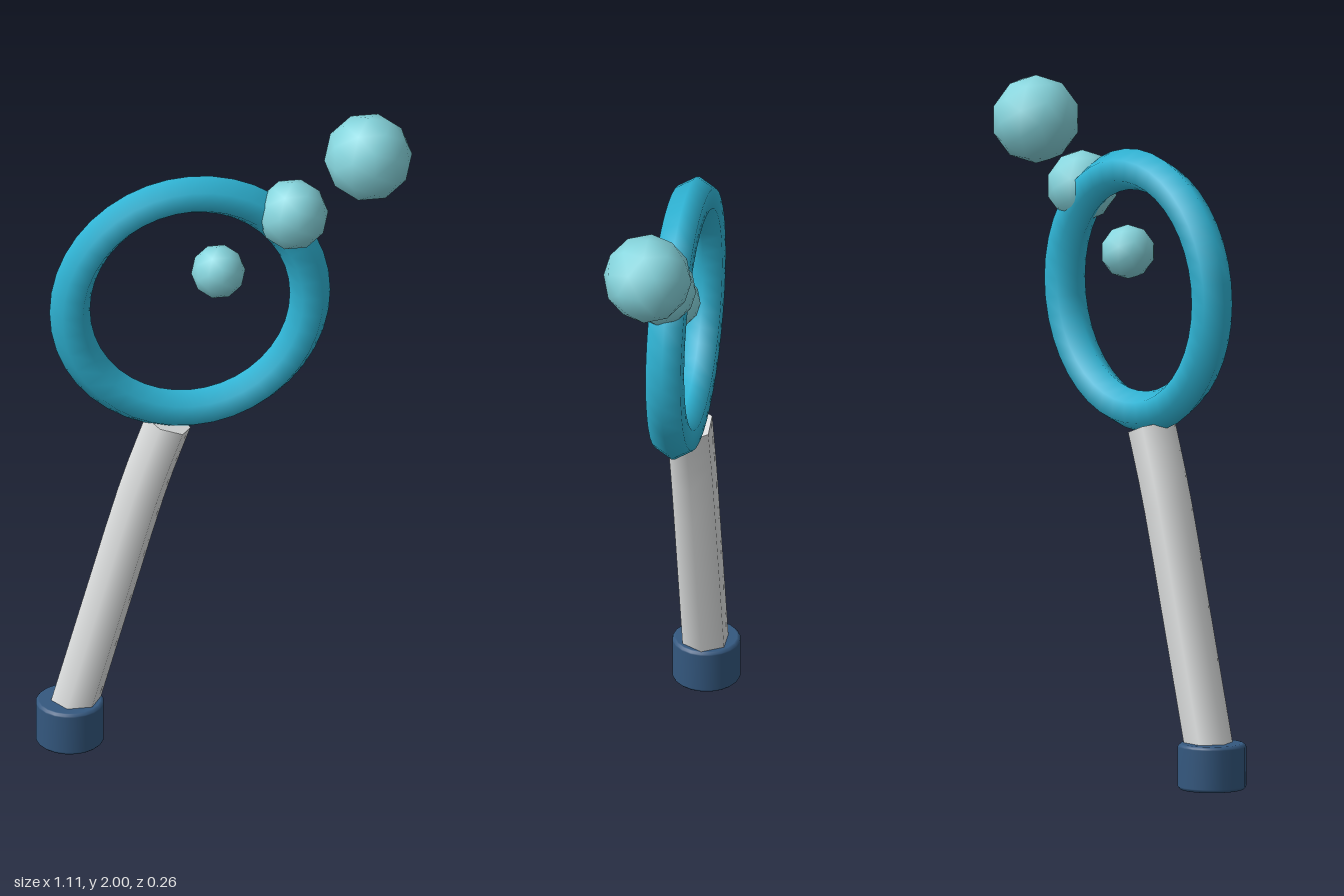
import * as THREE from 'three';

const mat = (name, color) => {
  const m = new THREE.MeshStandardMaterial({ color });
  m.name = name;
  return m;
};

export function createModel() {
  const group = new THREE.Group();
  const white = mat('pale grey', 0xdfe1e1);
  const blue = mat('bright blue', 0x2fb5d6);
  const aqua = mat('light aqua', 0x86d5dd);
  const navy = mat('navy', 0x34587f);
  const depth = -0.022; // the wand sits slightly behind the bubbles

  const add = (name, geometry, material, x, y, z) => {
    const mesh = new THREE.Mesh(geometry, material);
    mesh.name = name;
    mesh.position.set(x, y, z);
    group.add(mesh);
  };

  // End cap: short cylinder with a small bevel
  const capProfile = [[0, 0], [0.09, 0], [0.094, 0.001], [0.099, 0.006], [0.1, 0.01],
    [0.1, 0.125], [0.099, 0.129], [0.094, 0.134], [0.09, 0.135], [0, 0.135]];
  add('endCap', new THREE.LatheGeometry(capProfile.map(([x, y]) => new THREE.Vector2(x, y)), 20),
    navy, -0.455, 0, depth);

  // Handle: six-sided rod swept along a slightly bent centre line
  const path = new THREE.CatmullRomCurve3([
    new THREE.Vector3(-0.452, 0.08, 0), new THREE.Vector3(-0.338, 0.48, 0),
    new THREE.Vector3(-0.233, 0.84, 0), new THREE.Vector3(-0.165, 1.03, 0)]);
  const handle = new THREE.CylinderGeometry(0.071, 0.071, 1, 6, 8).rotateY(Math.PI / 6);
  const { position, normal } = handle.attributes;
  const v = new THREE.Vector3();
  const zAxis = new THREE.Vector3(0, 0, 1);
  for (let i = 0; i < position.count; i++) {
    const t = THREE.MathUtils.clamp(position.getY(i) + 0.5, 0, 1);
    const tangent = path.getTangent(t);
    const angle = -Math.atan2(tangent.x, tangent.y);
    v.set(position.getX(i), 0, position.getZ(i)).applyAxisAngle(zAxis, angle).add(path.getPoint(t));
    position.setXYZ(i, v.x, v.y, v.z);
    v.fromBufferAttribute(normal, i).applyAxisAngle(zAxis, angle);
    normal.setXYZ(i, v.x, v.y, v.z);
  }
  add('handle', handle, white, 0, 0, depth);

  // Hoop
  add('hoop', new THREE.TorusGeometry(0.355, 0.06, 6, 40), blue, -0.1, 1.427, depth);

  // Bubbles growing towards the upper right
  [['smallBubble', 0.08, -0.02, 1.53], ['middleBubble', 0.105, 0.2, 1.7], ['largeBubble', 0.13, 0.423, 1.87]]
    .forEach(([name, r, x, y]) => add(name, new THREE.IcosahedronGeometry(r, 1), aqua, x, y, 0));

  return group;
}
